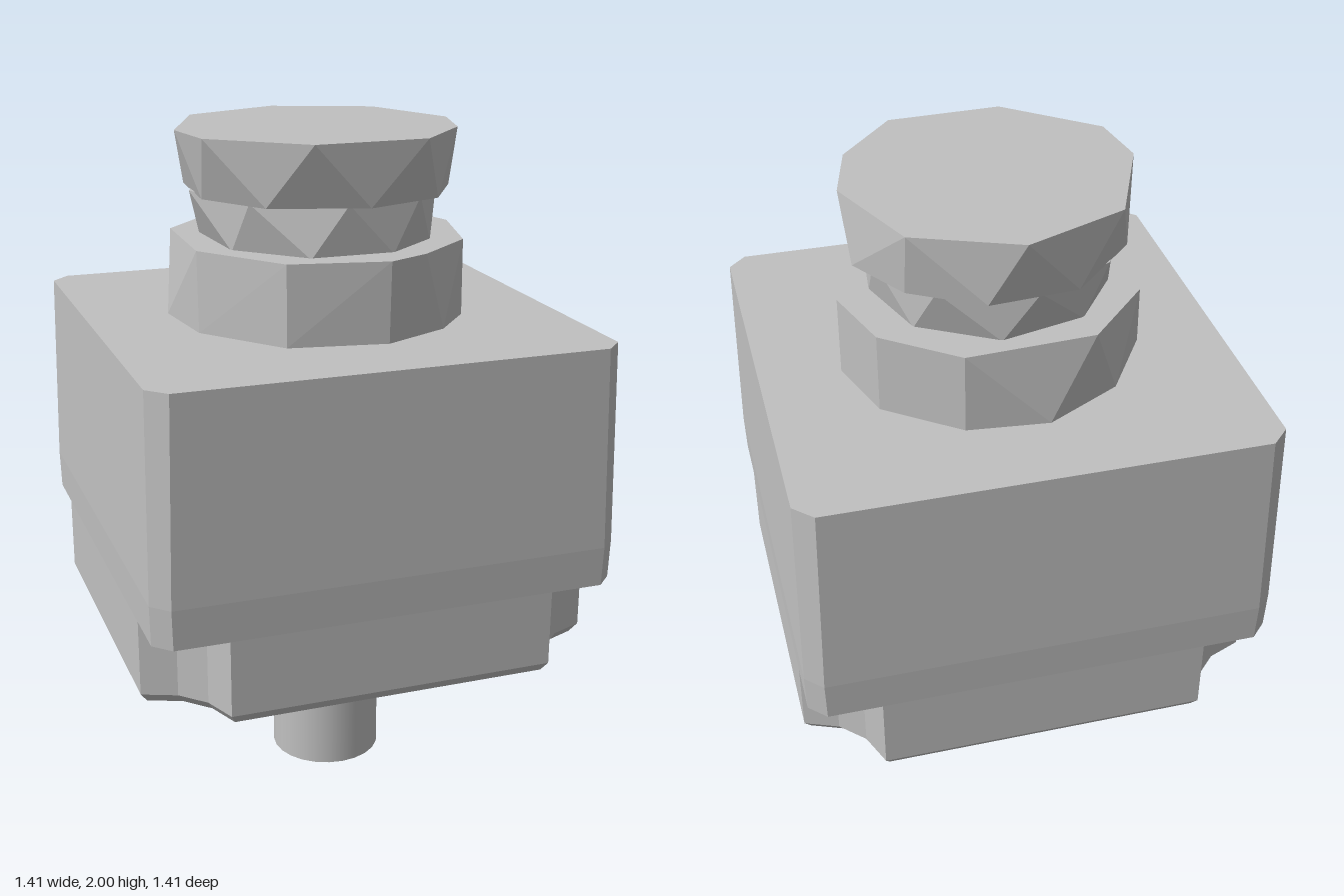
import * as THREE from 'three';
import { ConvexGeometry } from 'three/addons/geometries/ConvexGeometry.js';

const grey = new THREE.MeshStandardMaterial({ color: 0xc0c0c0, side: THREE.DoubleSide });
grey.name = 'metalGrey';

export function createModel() {
  const group = new THREE.Group();
  const add = (name, geometry) => {
    const mesh = new THREE.Mesh(geometry, grey);
    mesh.name = name;
    group.add(mesh);
    return mesh;
  };

  // Faceted solid spanning flat rings of [x, z] points, each at its own height
  const hull = (...rings) => new ConvexGeometry(
    rings.flatMap(([y, pts]) => pts.map(([x, z]) => new THREE.Vector3(x, y, z))));
  // Flat plate reaching down from yTop; shape y becomes z
  const plate = (shape, yTop, depth) =>
    new THREE.ExtrudeGeometry(shape, { depth, bevelEnabled: false, curveSegments: 16 })
      .rotateX(Math.PI / 2).translate(0, yTop, 0);
  const octagon = (h, c) => [[h, h - c], [h - c, h], [c - h, h], [-h, h - c],
    [-h, c - h], [c - h, -h], [h - c, -h], [h, c - h]];

  // Upper body with chamfered corners and a slight flare
  add('upperBody', hull([0.71, octagon(0.70, 0.05)], [0.83, octagon(0.703, 0.05)],
    [1.435, octagon(0.692, 0.055)]));

  // Lower body outline with a concave notch at each corner
  const notched = () => {
    const corner = [[0.7, 0.49], [0.6, 0.53], [0.53, 0.6], [0.49, 0.7]];
    const pts = [];
    for (let i = 0; i < 4; i++) {
      for (const [x, y] of corner) {
        pts.push(new THREE.Vector2(x, y).rotateAround(new THREE.Vector2(), i * Math.PI / 2));
      }
    }
    return new THREE.Shape(pts);
  };
  add('lowerBody', plate(notched(), 0.71, 0.23));

  // Underside rim, tapered inward, with a shallow round recess and screw holes
  const rim = notched();
  const recess = new THREE.Path();
  recess.absarc(0, 0.1, 0.33, 0, Math.PI * 2, true);
  rim.holes.push(recess);
  for (const x of [-0.44, 0.44]) {
    const hole = new THREE.Path();
    hole.absarc(x, 0.1, 0.06, 0, Math.PI * 2, true);
    rim.holes.push(hole);
  }
  const rimGeometry = plate(rim, 0.48, 0.03);
  const p = rimGeometry.attributes.position;
  for (let i = 0; i < p.count; i++) {
    if (p.getY(i) < 0.46) p.setXYZ(i, p.getX(i) * 0.97, p.getY(i), p.getZ(i) * 0.97);
  }
  rimGeometry.computeVertexNormals();
  add('undersideRim', rimGeometry);

  // Screw collars around the two holes
  for (const side of [-1, 1]) {
    const ring = new THREE.Shape();
    ring.absarc(side * 0.44, 0.1, 0.07, 0, Math.PI * 2);
    const bore = new THREE.Path();
    bore.absarc(side * 0.44, 0.1, 0.055, 0, Math.PI * 2, true);
    ring.holes.push(bore);
    add(side > 0 ? 'leftScrewCollar' : 'rightScrewCollar', plate(ring, 0.46, 0.03));
  }

  // Stacked irregular rings on top: flange, neck and cap
  add('flange', hull(
    [1.435, [[0.45, -0.04], [0.38, -0.26], [0.17, -0.42], [-0.07, -0.445], [-0.3, -0.32],
      [-0.44, -0.1], [-0.41, 0.15], [-0.22, 0.39], [0.07, 0.44], [0.28, 0.34], [0.4, 0.2]]],
    [1.675, [[0.45, -0.04], [0.38, -0.26], [0.17, -0.42], [-0.21, -0.4], [-0.4, -0.2],
      [-0.41, 0.14], [-0.22, 0.39], [0.07, 0.45], [0.2, 0.39], [0.38, 0.24]]]));
  add('neck', hull(
    [1.67, [[0.35, 0], [0.27, -0.23], [0.05, -0.36], [-0.2, -0.3], [-0.33, -0.12],
      [-0.31, 0.16], [-0.13, 0.34], [0.12, 0.34], [0.29, 0.2]]],
    [1.82, [[0.35, -0.1], [0.22, -0.31], [-0.05, -0.385], [-0.28, -0.27], [-0.385, -0.02],
      [-0.28, 0.24], [-0.02, 0.35], [0.22, 0.29], [0.35, 0.1]]]));
  add('cap', hull(
    [1.815, [[0.41, -0.1], [0.3, -0.28], [0.1, -0.4], [-0.16, -0.38], [-0.36, -0.18],
      [-0.38, 0.1], [-0.25, 0.3], [0.03, 0.39], [0.27, 0.3], [0.39, 0.1]]],
    [2, [[0.425, -0.01], [0.3, -0.31], [0, -0.43], [-0.3, -0.31], [-0.43, 0],
      [-0.4, 0.19], [-0.14, 0.4], [0.2, 0.39], [0.37, 0.2]]]));

  // Hollow output shaft, set forward of centre, with a small ragged fin behind it
  add('shaft', new THREE.CylinderGeometry(0.168, 0.17, 0.48, 24, 1, true).translate(0, 0.24, 0.1));
  const fin = new THREE.Shape([[0.02, 0.45], [-0.15, 0.45], [-0.13, 0.36], [-0.18, 0.33],
    [-0.11, 0.2], [-0.07, 0.03], [-0.06, 0.2]].map(([z, y]) => new THREE.Vector2(-z, y)));
  add('shaftFin', new THREE.ExtrudeGeometry(fin, { depth: 0.06, bevelEnabled: false })
    .rotateY(Math.PI / 2).translate(-0.03, 0, 0));

  return group;
}
